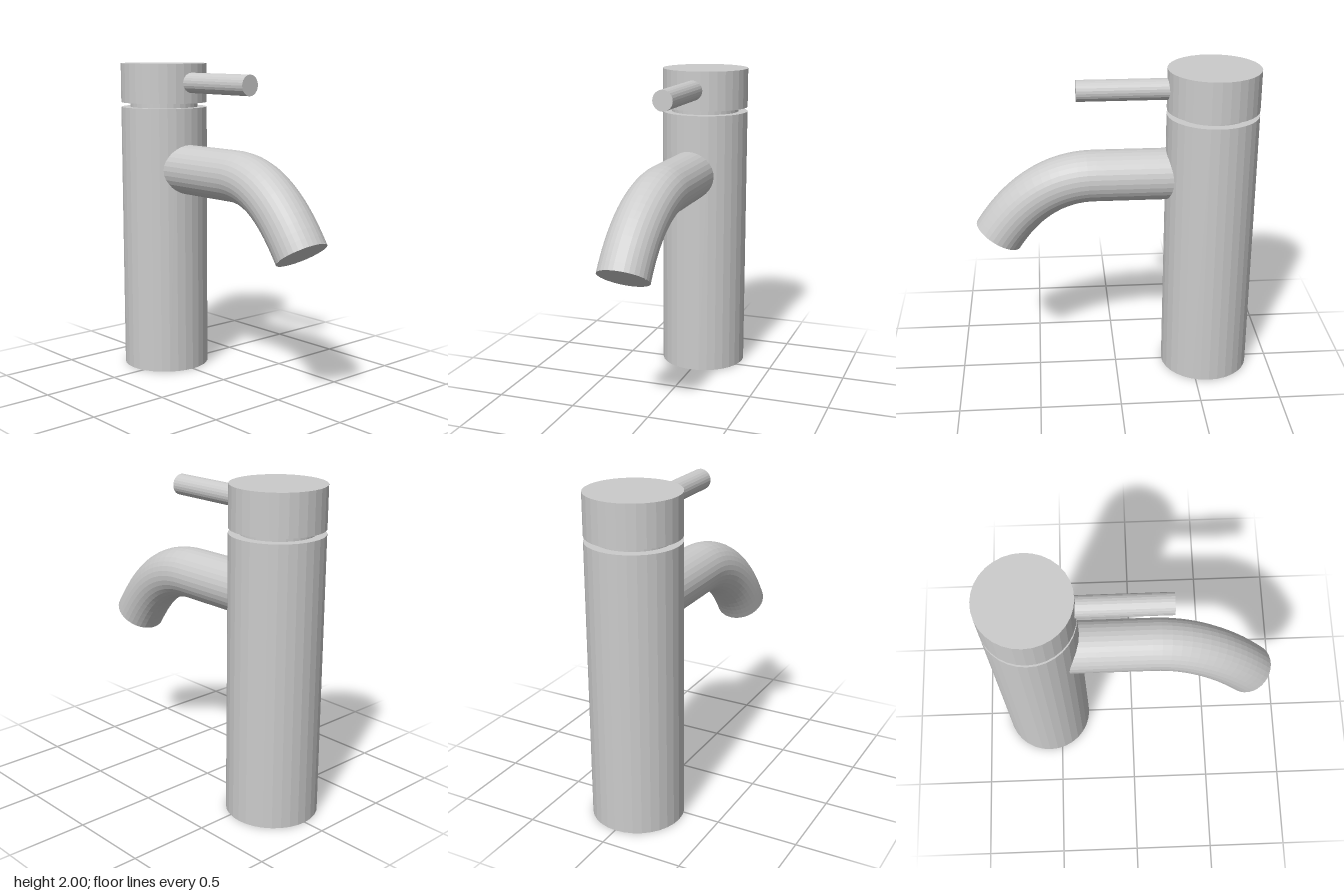
import * as THREE from 'three';

const SIDES = 32;
const AXIS_X = -0.585;
const V = (x, y, z) => new THREE.Vector3(x, y, z);

export function createModel() {
  const group = new THREE.Group();
  group.name = 'basinTap';
  const material = new THREE.MeshStandardMaterial({ color: 0xcccccc, flatShading: true });

  function add(name, geometry, parent = group) {
    const mesh = new THREE.Mesh(geometry, material);
    mesh.name = name;
    parent.add(mesh);
    return mesh;
  }

  // Upright cylinder on the tap's axis, from y0 to y1
  function column(name, radius, y0, y1) {
    const geometry = new THREE.CylinderGeometry(radius, radius, y1 - y0, SIDES);
    add(name, geometry).position.set(AXIS_X, (y0 + y1) / 2, 0);
  }
  column('body', 0.279, 0, 1.72);
  column('neck', 0.22, 1.72, 1.75);
  column('handleCap', 0.279, 1.75, 2);

  // Lever, a thin rod reaching out from the cap
  const leverStart = -0.4, leverEnd = 0.235;
  const rod = new THREE.CylinderGeometry(0.064, 0.064, leverEnd - leverStart, 24);
  rod.rotateZ(-Math.PI / 2);
  add('lever', rod).position.set((leverStart + leverEnd) / 2, 1.88, -0.003);

  // Spout: a straight run, then a bend down that drifts slightly forward
  const spout = new THREE.Group();
  spout.name = 'spout';
  group.add(spout);
  const radius = 0.158;
  const bendStart = V(0.13, 1.33, 0.02);
  const bend = new THREE.CubicBezierCurve3(
    bendStart, V(0.363, 1.33, 0.02), V(0.563, 1.199, 0.05), V(0.73, 0.937, 0.052));
  const path = new THREE.CurvePath();
  path.add(new THREE.LineCurve3(V(-0.45, 1.33, 0.02), bendStart));
  path.add(bend);
  add('spoutPipe', new THREE.TubeGeometry(path, 28, radius, SIDES), spout);

  // Flat discs closing both ends of the pipe
  for (const [name, t, sign] of [['spoutRoot', 0, -1], ['spoutOutlet', 1, 1]]) {
    const disc = add(name, new THREE.CircleGeometry(radius, SIDES), spout);
    const direction = path.getTangentAt(t).multiplyScalar(sign);
    disc.position.copy(path.getPointAt(t));
    disc.quaternion.setFromUnitVectors(V(0, 0, 1), direction);
  }

  return group;
}
